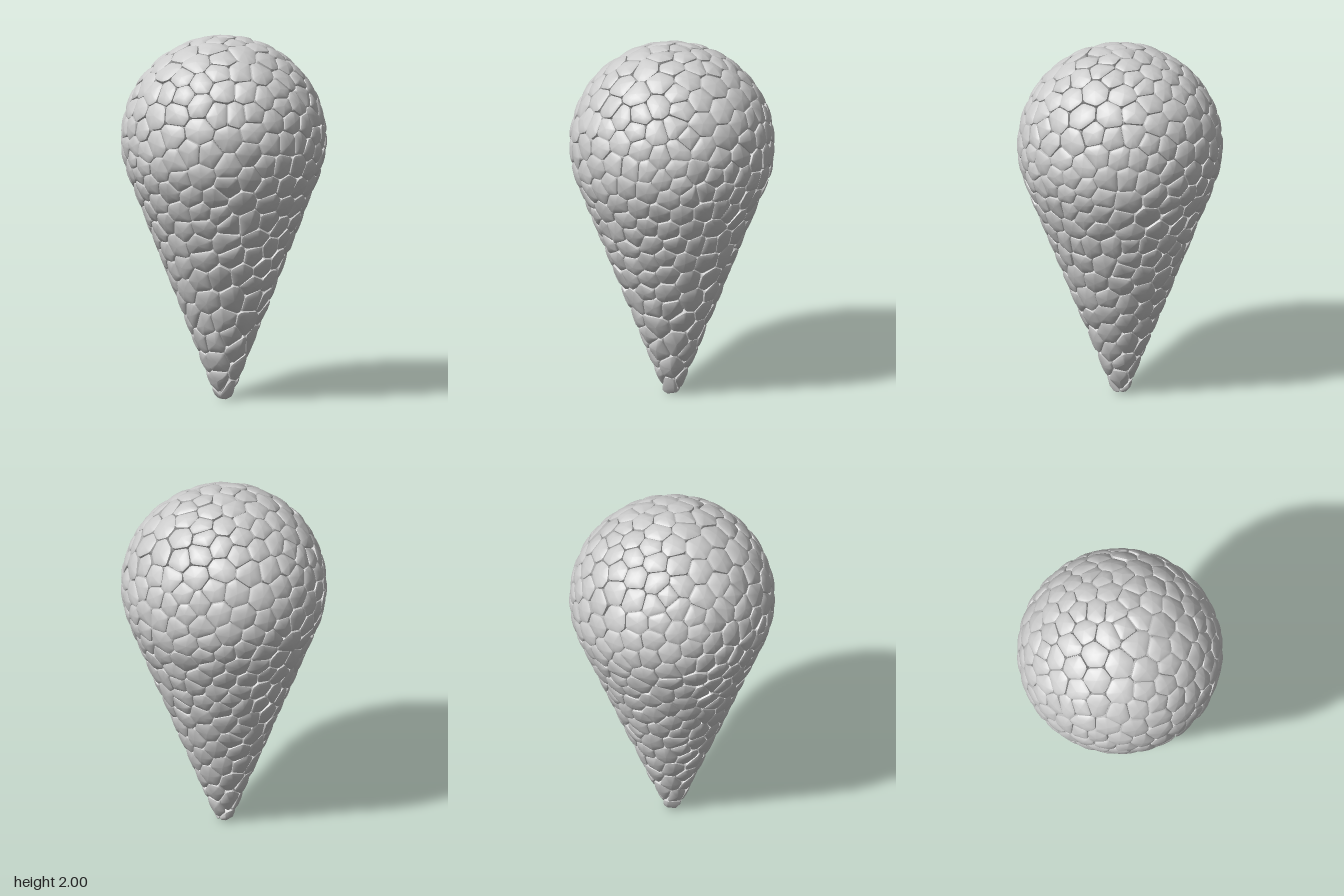
import * as THREE from 'three';
import { mergeGeometries } from 'three/addons/utils/BufferGeometryUtils.js';

// Teardrop envelope: a small sphere at the tip swelling into a large one
const Y0 = 0.06, R0 = 0.06, Y1 = 1.44, R1 = 0.56;
const K = (R1 - R0) / (Y1 - Y0), TAN = K / Math.sqrt(1 - K * K);
const CELLS = 350;

let seed = 7;
const rand = () => {
  seed = (seed * 16807) % 2147483647;
  return seed / 2147483647;
};

// Nearest point on the teardrop, lifted by an offset
function onSurface(p, lift = 0) {
  const c = THREE.MathUtils.clamp(p.y + Math.hypot(p.x, p.z) * TAN, Y0, Y1);
  const axis = new THREE.Vector3(0, c, 0);
  const dir = p.clone().sub(axis).normalize();
  return axis.addScaledVector(dir, R0 + K * (c - Y0) + lift);
}

function normalAt(p) {
  return onSurface(p, 1).sub(onSurface(p, 0)).normalize();
}

// Random point, evenly spread by area
function randomPoint() {
  for (;;) {
    const y = rand() * 2, a = rand() * Math.PI * 2;
    const coneR = 0.06 + y * 0.376;
    const r = y > 1.24 ? Math.sqrt(Math.max(0, R1 * R1 - (y - Y1) ** 2)) : coneR;
    if (rand() * R1 > (y > 1.24 ? R1 : coneR * 1.07)) continue;
    return onSurface(new THREE.Vector3(Math.cos(a) * r, y, Math.sin(a) * r));
  }
}

// Evenly scattered centres: keep the candidate farthest from the rest
function scatter() {
  const pts = [];
  while (pts.length < CELLS) {
    let best, bestD = -1;
    for (let i = 0; i < 14; i++) {
      const p = randomPoint();
      let d = Infinity;
      for (const q of pts) d = Math.min(d, p.distanceToSquared(q));
      if (d > bestD) [best, bestD] = [p, d];
    }
    pts.push(best);
  }
  return pts;
}

// Keep the part of a polygon on the near side of a plane
function clip(poly, mid, n) {
  const out = [];
  poly.forEach((a, i) => {
    const b = poly[(i + 1) % poly.length];
    const da = a.clone().sub(mid).dot(n), db = b.clone().sub(mid).dot(n);
    if (da <= 0) out.push(a);
    if (da * db < 0) out.push(a.clone().lerp(b, da / (da - db)));
  });
  return out;
}

// Tangent-plane cell around a centre, bounded by its neighbours
function cell(c, pts) {
  const n = normalAt(c);
  const u = new THREE.Vector3(0.3, 1, 0.2).cross(n).normalize();
  const v = n.clone().cross(u);
  let poly = [[-1, -1], [1, -1], [1, 1], [-1, 1]].map(([a, b]) =>
    c.clone().addScaledVector(u, a * 0.15).addScaledVector(v, b * 0.15));
  for (const q of pts) {
    if (q === c || q.distanceToSquared(c) > 0.18) continue;
    poly = clip(poly, q.clone().add(c).multiplyScalar(0.5), q.clone().sub(c));
  }
  return poly;
}

const centroid = poly => poly.reduce((s, p) => s.add(p), new THREE.Vector3()).divideScalar(poly.length);

// Stitch a list of equal-length rings into a smooth geometry
function loft(rings) {
  const n = rings[0].length, index = [];
  for (let r = 0; r < rings.length - 1; r++) {
    for (let i = 0; i < n; i++) {
      const a = r * n + i, b = r * n + (i + 1) % n;
      index.push(a, a + n, b + n, a, b + n, b);
    }
  }
  const g = new THREE.BufferGeometry().setFromPoints(rings.flat());
  g.setIndex(index);
  return g;
}

// One stone: gently domed, slightly tilted top and a separate bevelled rim
function stone(c, pts) {
  const poly = cell(c, pts), n = poly.length;
  if (n < 3) return [];
  const mid = centroid(poly);
  const tilt = new THREE.Vector3(rand() - 0.5, rand() - 0.5, rand() - 0.5).multiplyScalar(0.16);
  const corners = poly.flatMap((p, i) => [
    p.clone().lerp(poly[(i + n - 1) % n], 0.13),
    p.clone().lerp(poly[(i + 1) % n], 0.13),
  ]);
  const ring = (src, size, lift, tilted) => src.map(p => {
    const q = mid.clone().lerp(p, size);
    return onSurface(q, lift + tilted * tilt.dot(q.clone().sub(mid)));
  });
  const sharp = poly.flatMap(p => [p, p]);
  const edge = ring(corners, 0.95, -0.008, 1);
  const top = loft([
    ring(corners, 0.001, 0.002, 1),
    ring(corners, 0.4, 0.001, 1),
    ring(corners, 0.75, -0.002, 1),
    edge,
  ]);
  const rim = loft([edge, ring(sharp, 1.0, -0.032, 0)]);
  return [top, rim].map(g => {
    g.computeVertexNormals();
    return g;
  });
}

export function createModel() {
  const group = new THREE.Group();
  group.name = 'pebbledTeardrop';
  const material = new THREE.MeshStandardMaterial({ color: 0xcccccc, side: THREE.DoubleSide });

  // Centres, evened out by moving each to the middle of its cell
  let pts = scatter();
  for (let k = 0; k < 2; k++) {
    pts = pts.map(p => {
      const poly = cell(p, pts);
      return poly.length > 2 ? onSurface(centroid(poly)) : p;
    });
  }

  // Stone skin
  const stones = new THREE.Mesh(mergeGeometries(pts.flatMap(p => stone(p, pts))), material);
  stones.name = 'stones';
  group.add(stones);

  // Smooth core seen in the joints
  const profile = [];
  const inset = 0.03;
  const a0 = -Math.asin(K);
  for (let i = 0; i <= 6; i++) {
    const a = THREE.MathUtils.lerp(-Math.PI / 2, a0, i / 6);
    profile.push(new THREE.Vector2(Math.cos(a) * (R0 - inset), Y0 + Math.sin(a) * (R0 - inset)));
  }
  for (let i = 0; i <= 20; i++) {
    const a = THREE.MathUtils.lerp(a0, Math.PI / 2, i / 20);
    profile.push(new THREE.Vector2(Math.cos(a) * (R1 - inset), Y1 + Math.sin(a) * (R1 - inset)));
  }
  const core = new THREE.Mesh(new THREE.LatheGeometry(profile, 48), material);
  core.name = 'core';
  group.add(core);
  return group;
}
